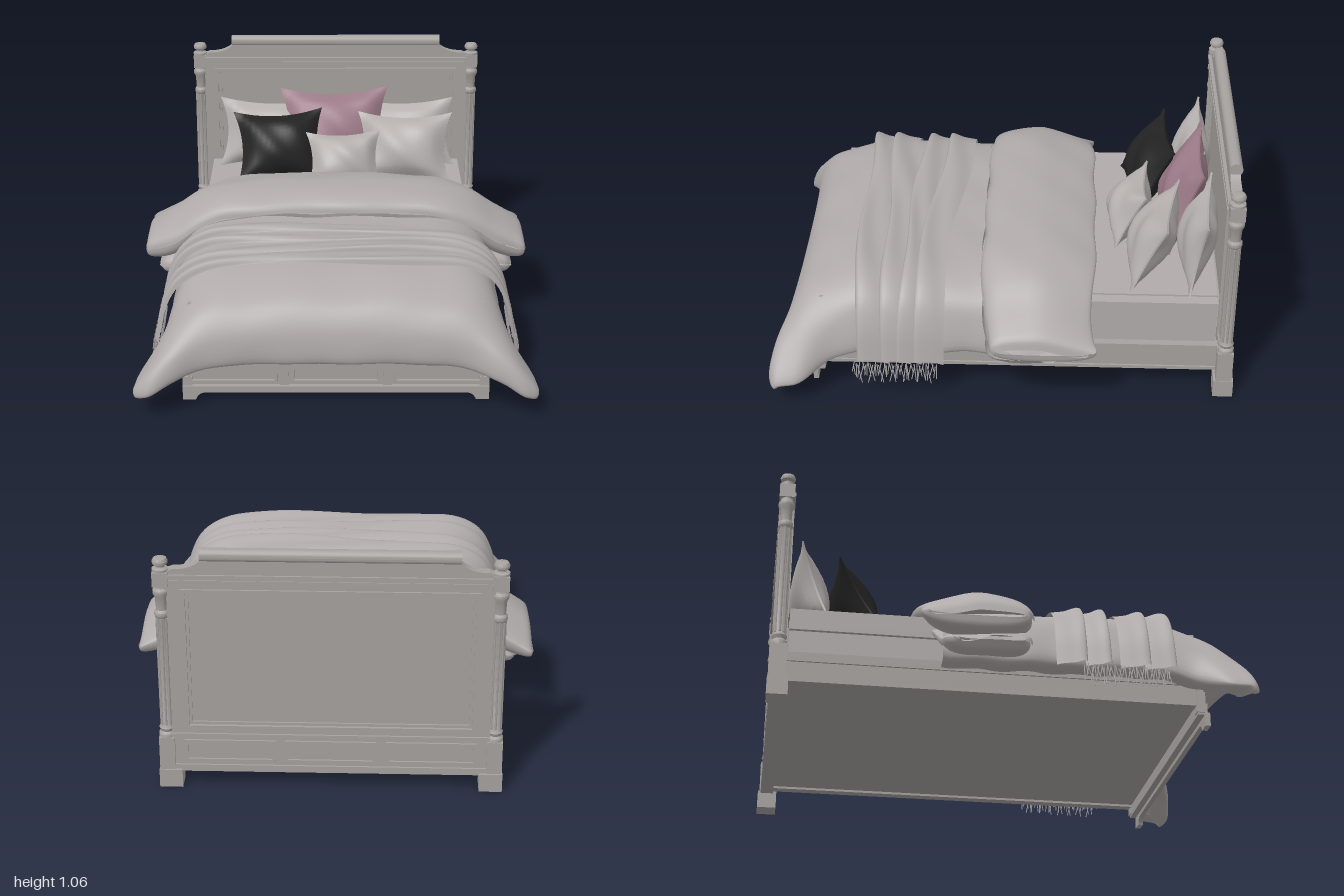
import * as THREE from 'three';
import { toCreasedNormals } from 'three/addons/utils/BufferGeometryUtils.js';

const mat = (name, color, side = THREE.FrontSide) => {
  const m = new THREE.MeshStandardMaterial({ color, side });
  m.name = name;
  return m;
};

export function createModel() {
  const wood = mat('painted wood', 0xa5a19e);
  const linen = mat('linen', 0xb0abaa, THREE.DoubleSide);
  const cotton = mat('pillow cotton', 0xb5b0ae);
  const mauve = mat('mauve', 0x9c7a88);
  const black = mat('black', 0x222222);
  const bed = new THREE.Group();
  bed.name = 'bed';

  const add = (name, geo, m, x = 0, y = 0, z = 0, parent = bed) => {
    const mesh = new THREE.Mesh(geo, m);
    mesh.name = name;
    mesh.position.set(x, y, z);
    parent.add(mesh);
    return mesh;
  };
  // box given by its limits
  const box = (name, x0, x1, y0, y1, z0, z1, m = wood) =>
    add(name, new THREE.BoxGeometry(x1 - x0, y1 - y0, z1 - z0), m, (x0 + x1) / 2, (y0 + y1) / 2, (z0 + z1) / 2);
  const rect = (P, x0, x1, y0, y1) => {
    const s = new P();
    s.moveTo(x0, y0); s.lineTo(x1, y0); s.lineTo(x1, y1); s.lineTo(x0, y1); s.closePath();
    return s;
  };
  const slab = (name, shape, z0, z1) =>
    add(name, new THREE.ExtrudeGeometry(shape, { depth: z1 - z0, bevelEnabled: false, curveSegments: 10 }), wood, 0, 0, z0);
  const frame = (name, x0, x1, y0, y1, bar, z0, z1) => {
    const s = rect(THREE.Shape, x0, x1, y0, y1);
    s.holes.push(rect(THREE.Path, x0 + bar, x1 - bar, y0 + bar, y1 - bar));
    return slab(name, s, z0, z1);
  };

  // headboard: curved top, recessed panel on both faces
  const hb = new THREE.Shape();
  hb.moveTo(-0.645, 0.08); hb.lineTo(0.645, 0.08); hb.lineTo(0.645, 0.965); hb.lineTo(0.62, 0.975);
  hb.quadraticCurveTo(0.54, 0.975, 0.505, 1.015); hb.lineTo(-0.505, 1.015);
  hb.quadraticCurveTo(-0.54, 0.975, -0.62, 0.975); hb.lineTo(-0.645, 0.965); hb.closePath();
  hb.holes.push(rect(THREE.Path, -0.575, 0.575, 0.28, 0.875));
  slab('headboard', hb, -0.98, -0.937);
  box('headboardPanel', -0.58, 0.58, 0.27, 0.885, -0.968, -0.95);
  frame('frontPanelMoulding', -0.597, 0.597, 0.26, 0.897, 0.018, -0.94, -0.925);
  frame('frontInnerMoulding', -0.575, 0.575, 0.28, 0.875, 0.012, -0.952, -0.942);
  frame('backPanelMoulding', -0.59, 0.59, 0.265, 0.89, 0.018, -0.988, -0.978);
  frame('backInnerMoulding', -0.572, 0.572, 0.283, 0.872, 0.012, -0.976, -0.966);
  box('crownMoulding', -0.645, 0.645, 0.935, 0.952, -0.988, -0.922);
  box('crownBead', -0.645, 0.645, 0.918, 0.928, -0.984, -0.93);
  box('backRailMoulding', -0.645, 0.645, 0.228, 0.245, -0.988, -0.93);
  box('backPlinth', -0.645, 0.645, 0.07, 0.1, -0.988, -0.93);
  for (const x of [-0.41, 0, 0.41]) frame('backLowerPanel', x - 0.185, x + 0.185, 0.115, 0.215, 0.013, -0.988, -0.978);
  const roll = new THREE.CylinderGeometry(0.028, 0.028, 1.02, 20);
  roll.rotateZ(Math.PI / 2);
  add('topRoll', toCreasedNormals(roll, 0.6), wood, 0, 1.03, -0.96);

  // turned headboard posts
  const post = [[0.034, 0.22], [0.034, 0.24], [0.026, 0.25], [0.032, 0.265], [0.024, 0.28], [0.024, 0.76], [0.031, 0.77],
    [0.031, 0.785], [0.023, 0.795], [0.026, 0.85], [0.034, 0.865], [0.034, 0.88], [0.026, 0.89], [0.026, 0.91]];
  const finial = [[0.033, 0.96], [0.033, 0.972], [0.018, 0.978], [0.018, 0.984], [0.03, 0.992], [0.032, 1.003], [0.026, 1.015], [0.001, 1.022]];
  const lathe = p => toCreasedNormals(new THREE.LatheGeometry(p.map(q => new THREE.Vector2(...q)), 16), 0.7);
  for (const s of [-1, 1]) {
    const x = 0.667 * s;
    box('postFoot', x - 0.035 - (s > 0 ? 0.025 : 0), x + 0.035 + (s < 0 ? 0.025 : 0), 0, 0.08, -1, -0.915);
    box('postBase', x - 0.032, x + 0.032, 0.08, 0.225, -0.993, -0.925);
    box('postCap', x - 0.031, x + 0.031, 0.9, 0.962, -0.992, -0.928);
    add('post', lathe(post), wood, x, 0, -0.96);
    add('finial', lathe(finial), wood, x, 0, -0.96);
    // fine flutes around the column
    for (let i = 0; i < 8; i++) {
      const a = i * Math.PI / 4;
      add('flute', new THREE.CylinderGeometry(0.005, 0.005, 0.48, 5), wood, x + 0.023 * Math.cos(a), 0.52, -0.96 + 0.023 * Math.sin(a));
    }
    // side rail and its mouldings
    box('sideRail', s > 0 ? 0.59 : -0.625, s > 0 ? 0.625 : -0.59, 0.09, 0.22, -0.93, 0.78);
    box('railTopMoulding', s > 0 ? 0.59 : -0.633, s > 0 ? 0.633 : -0.59, 0.18, 0.22, -0.93, 0.78);
    box('railBottomMoulding', s > 0 ? 0.59 : -0.633, s > 0 ? 0.633 : -0.59, 0.09, 0.105, -0.93, 0.78);
    box('bracketReturn', s > 0 ? 0.6 : -0.64, s > 0 ? 0.64 : -0.6, 0.06, 0.1, 0.765, 0.81);
  }

  // footboard with three framed panels and a bracket base
  box('footboard', -0.635, 0.635, 0.05, 0.21, 0.77, 0.798);
  box('footTopMoulding', -0.64, 0.64, 0.178, 0.205, 0.77, 0.815);
  for (const x of [-0.43, 0, 0.43]) frame('footPanel', x - 0.187, x + 0.187, 0.07, 0.162, 0.013, 0.796, 0.81);
  for (const x of [-0.215, 0.215]) box('footDivider', x - 0.018, x + 0.018, 0.06, 0.178, 0.79, 0.805);
  const br = new THREE.Shape();
  br.moveTo(-0.64, 0); br.lineTo(-0.585, 0); br.quadraticCurveTo(-0.575, 0.03, -0.545, 0.032); br.lineTo(0.545, 0.032);
  br.quadraticCurveTo(0.575, 0.03, 0.585, 0); br.lineTo(0.64, 0); br.lineTo(0.64, 0.06); br.lineTo(-0.64, 0.06); br.closePath();
  slab('bracketBase', br, 0.798, 0.82);
  box('underside', -0.6, 0.6, 0.1, 0.14, -0.94, 0.775);

  // mattress
  box('boxSpring', -0.6, 0.6, 0.2, 0.33, -0.92, 0.77, linen);
  box('mattress', -0.61, 0.61, 0.333, 0.425, -0.92, 0.775, linen);
  box('mattressTop', -0.56, 0.56, 0.42, 0.433, -0.92, 0.74, linen);

  // smooth surface through rows of control points
  const curve = p => new THREE.CatmullRomCurve3(p);
  const surface = (rows, nu, nv, ripple) => {
    const lines = rows.map(r => curve(r).getPoints(nu));
    const pos = [], idx = [];
    for (let i = 0; i <= nu; i++) {
      curve(lines.map(l => l[i])).getPoints(nv).forEach((p, j) => {
        if (ripple) ripple(p, i / nu, j / nv);
        pos.push(p.x, p.y, p.z);
        if (i < nu && j < nv) {
          const a = i * (nv + 1) + j, b = a + nv + 1;
          idx.push(a, a + 1, b, b, a + 1, b + 1);
        }
      });
    }
    const g = new THREE.BufferGeometry();
    g.setAttribute('position', new THREE.Float32BufferAttribute(pos, 3));
    g.setIndex(idx);
    g.computeVertexNormals();
    return g;
  };
  // half row [x, y, z] from the middle outwards, mirrored to a full one
  const mirrorRow = h => [...h.slice(1).reverse().map(([x, y, z]) => new THREE.Vector3(-x, y, z)), ...h.map(p => new THREE.Vector3(...p))];
  const topRow = (z, y) => mirrorRow([[0, y, z], [0.35, y - 0.003, z], [0.54, y - 0.025, z], [0.64, y - 0.085, z], [0.685, 0.34, z], [0.7, 0.21, z], [0.64, 0.19, z]]);

  // duvet, flaring at the foot corners
  const duvet = [topRow(-0.3, 0.5), topRow(-0.1, 0.52), topRow(0.1, 0.522), topRow(0.35, 0.53), topRow(0.6, 0.525),
    mirrorRow([[0, 0.49, 0.75], [0.35, 0.485, 0.75], [0.55, 0.455, 0.75], [0.655, 0.385, 0.75], [0.715, 0.28, 0.75], [0.735, 0.16, 0.75], [0.66, 0.16, 0.74]]),
    mirrorRow([[0, 0.43, 0.85], [0.35, 0.425, 0.85], [0.55, 0.4, 0.86], [0.67, 0.33, 0.87], [0.76, 0.22, 0.87], [0.82, 0.11, 0.87], [0.72, 0.12, 0.85]]),
    mirrorRow([[0, 0.33, 0.9], [0.35, 0.325, 0.905], [0.55, 0.305, 0.92], [0.67, 0.26, 0.95], [0.77, 0.18, 0.965], [0.835, 0.1, 0.95], [0.74, 0.1, 0.9]]),
    mirrorRow([[0, 0.205, 0.9], [0.35, 0.203, 0.9], [0.55, 0.19, 0.92], [0.68, 0.15, 0.97], [0.77, 0.1, 0.99], [0.82, 0.08, 0.96], [0.75, 0.09, 0.92]]),
    mirrorRow([[0, 0.225, 0.83], [0.35, 0.22, 0.83], [0.55, 0.21, 0.84], [0.63, 0.18, 0.87], [0.7, 0.14, 0.9], [0.75, 0.11, 0.9], [0.73, 0.1, 0.9]])];
  add('duvet', surface(duvet, 64, 60, (p, u, v) => {
    const edge = Math.abs(2 * u - 1);
    p.y += 0.004 * Math.sin(p.x * 17 + p.z * 9) * Math.sin(p.z * 14);
    if (edge > 0.6) p.x += Math.sign(p.x) * 0.009 * Math.sin(p.z * 32) * (edge - 0.6) * 2.5;
    if (v > 0.8) p.z += 0.008 * Math.sin(p.x * 23) * (v - 0.8) * 5;
  }), linen);

  // puffy turned-down part: closed loops [x, top, bottom, zBack, zFront]
  const puff = (name, half) => {
    const all = [...half.slice(1).reverse().map(([x, ...r]) => [-x, ...r]), ...half];
    const bend = (c, e) => Math.sign(c) * Math.abs(c) ** e;
    const rows = all.map(([x, t, b, z0, z1]) => Array.from({ length: 25 }, (_, i) => {
      const a = i / 24 * Math.PI * 2, c = bend(Math.cos(a), 0.75), s = bend(Math.sin(a), 0.8);
      const drop = 0.05 * Math.max(0, -c) * Math.max(0, s);
      return new THREE.Vector3(x, (t + b) / 2 + s * (t - b) / 2 - drop, (z0 + z1) / 2 + c * (z1 - z0) / 2);
    }));
    add(name, surface(rows, 48, 56, (p, u) => {
      p.y += 0.005 * Math.sin(p.z * 19 + p.x * 8) * Math.sin(p.x * 11);
      p.z += 0.006 * Math.sin(p.x * 15 + u * 9);
    }), linen);
  };
  puff('duvetFold', [[0, 0.617, 0.46, -0.4, 0.085], [0.3, 0.61, 0.46, -0.4, 0.085], [0.5, 0.59, 0.43, -0.395, 0.085], [0.62, 0.55, 0.37, -0.39, 0.08],
    [0.72, 0.485, 0.3, -0.385, 0.07], [0.8, 0.435, 0.275, -0.39, 0.05], [0.85, 0.395, 0.285, -0.4, 0.035], [0.862, 0.35, 0.325, -0.37, 0.01]]);
  puff('duvetUnderfold', [[0, 0.5, 0.42, -0.36, 0.06], [0.5, 0.49, 0.4, -0.36, 0.06], [0.62, 0.42, 0.3, -0.34, 0.06],
    [0.7, 0.36, 0.22, -0.31, 0.06], [0.77, 0.32, 0.215, -0.29, 0.05], [0.8, 0.27, 0.25, -0.24, 0.02]]);

  // throw blanket in overlapping pleats, with fringe
  const throwRow = (z, lift, slant) => mirrorRow([[0, 0.538, z], [0.35, 0.535, z], [0.55, 0.512, z], [0.66, 0.445, z], [0.72, 0.33, z], [0.75, 0.18, z]])
    .map(p => p.set(p.x * (1 + lift * 0.8), p.y + lift, p.z + slant * p.x));
  [[0.2, 0.33, 0.07], [0.31, 0.42, 0.03], [0.4, 0.53, -0.04], [0.5, 0.635, -0.02]].forEach(([z0, z1, sl], k) => {
    const rows = [throwRow(z0, -0.002, sl), throwRow((z0 + z1) / 2, 0.014, sl), throwRow(z1 - 0.01, 0.022, sl), throwRow(z1, 0.0, sl)];
    add('throwPleat', surface(rows, 48, 12, (p, u, v) => {
      p.z += 0.012 * Math.sin(p.x * 6 + k * 2);
      p.y += 0.004 * Math.sin(v * 9 + p.x * 7);
    }), linen);
  });
  for (const s of [-1, 1]) for (let i = 0; i < 48; i++) {
    const len = 0.07 + 0.02 * Math.sin(i * 5.3);
    const f = add('fringe', new THREE.CylinderGeometry(0.0025, 0.002, len, 4), linen,
      s * (0.765 + 0.015 * Math.sin(i * 2.1)), 0.185 - len / 2, 0.27 + i * 0.0076);
    f.rotation.set(0.25 * Math.sin(i * 3.7), 0, s * 0.15);
  }

  // cushions: pinched edges, drawn-out corners, leaning back
  const cushion = (name, m, w, h, t, x, z, lean, yaw = 0, roll = 0) => {
    const g = new THREE.BoxGeometry(2, 2, 2, 18, 18, 1), p = g.attributes.position;
    for (let i = 0; i < p.count; i++) {
      const u = p.getX(i), v = p.getY(i), d = p.getZ(i);
      const a = Math.max(0, 1 - (u / 0.92) ** 2), b = Math.max(0, 1 - (v / 0.92) ** 2);
      const crease = 1 + 0.1 * Math.sin(u * 6 + v * 4 + x * 9);
      p.setXYZ(i, w / 2 * u * (1 - 0.16 * (1 - v * v)), h / 2 * v * (1 - 0.18 * (1 - u * u)),
        d * (0.004 + t / 2 * (a * b) ** 0.5 * crease) + 0.012 * u * v);
    }
    g.computeVertexNormals();
    add(name, g, m, x, 0.432 + h / 2 * Math.cos(lean), z).rotation.set(-lean, yaw, roll);
  };
  cushion('backPillowRight', cotton, 0.5, 0.34, 0.15, -0.32, -0.84, 0.25, 0.05, -0.02);
  cushion('backPillowLeft', cotton, 0.5, 0.34, 0.15, 0.33, -0.84, 0.25, -0.05, 0.02);
  cushion('mauveCushion', mauve, 0.53, 0.42, 0.17, -0.005, -0.79, 0.38, 0, 0.015);
  cushion('blackCushion', black, 0.43, 0.36, 0.18, -0.27, -0.65, 0.5, 0.1, 0.06);
  cushion('frontPillow', cotton, 0.46, 0.35, 0.18, 0.33, -0.645, 0.5, -0.1, -0.04);
  cushion('smallPillow', cotton, 0.36, 0.29, 0.17, 0.04, -0.55, 0.55, 0, 0.03);
  return bed;
}
